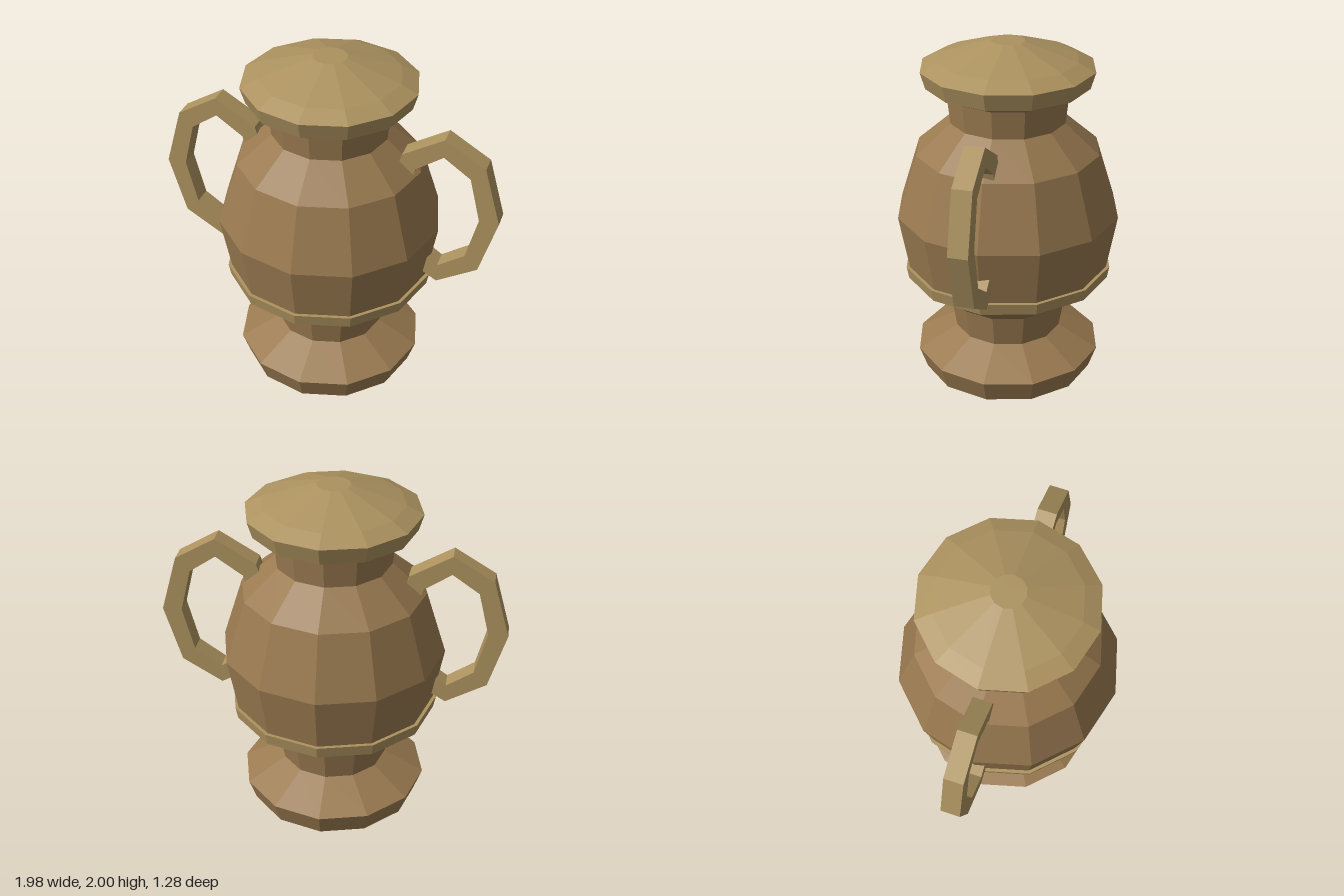
import * as THREE from 'three';

const mat = (name, color) => {
  const m = new THREE.MeshStandardMaterial({ color, flatShading: true });
  m.name = name;
  return m;
};

// Twelve-sided turned part from a [radius, height] profile, bottom to top
function turned(name, profile, material) {
  const points = profile.map(([r, y]) => new THREE.Vector2(r, y));
  const mesh = new THREE.Mesh(new THREE.LatheGeometry(points, 12), material);
  mesh.name = name;
  return mesh;
}

// Square-section handle: an eight-sided oval loop whose open ends sink into the body
function handleGeometry() {
  const cx = 0.66, cy = 1.172, depth = 0.11;
  const outer = [], inner = [];
  for (let i = -3; i <= 4; i++) {
    const a = i * Math.PI / 4;
    const at = (rx, ry) => new THREE.Vector2(cx + rx * Math.cos(a), cy + ry * Math.sin(a));
    outer.push(at(0.328, 0.473));
    inner.push(at(0.217, 0.363));
  }
  const shape = new THREE.Shape([...outer, ...inner.reverse()]);
  const geometry = new THREE.ExtrudeGeometry(shape, { depth, bevelEnabled: false });
  return geometry.translate(0, 0, -depth / 2);
}

export function createModel() {
  const urn = new THREE.Group();
  urn.name = 'urn';
  const clay = mat('brown clay', 0x9a7a50);
  const trim = mat('tan trim', 0xac925f);

  // Foot, stem, belly, shoulder and flared neck
  urn.add(turned('body', [
    [0, 0], [0.5, 0], [0.545, 0.132], [0.313, 0.26], [0.345, 0.447],
    [0.545, 0.62], [0.585, 0.69], [0.642, 1.01], [0.525, 1.378],
    [0.328, 1.55], [0.345, 1.71], [0.41, 1.765],
  ], clay));

  // Raised ring around the lower belly
  urn.add(turned('bellyBand', [
    [0.53, 0.62], [0.592, 0.62], [0.605, 0.69], [0.57, 0.69],
  ], trim));

  // Lid with a sloping rim and a small flat top
  urn.add(turned('lid', [
    [0, 1.762], [0.462, 1.762], [0.49, 1.856], [0.395, 1.902], [0.095, 2], [0, 2],
  ], trim));

  // Pair of handles
  const geometry = handleGeometry();
  for (const [name, turn] of [['leftHandle', 0], ['rightHandle', Math.PI]]) {
    const handle = new THREE.Mesh(geometry, trim);
    handle.name = name;
    handle.rotation.y = turn;
    urn.add(handle);
  }
  return urn;
}
